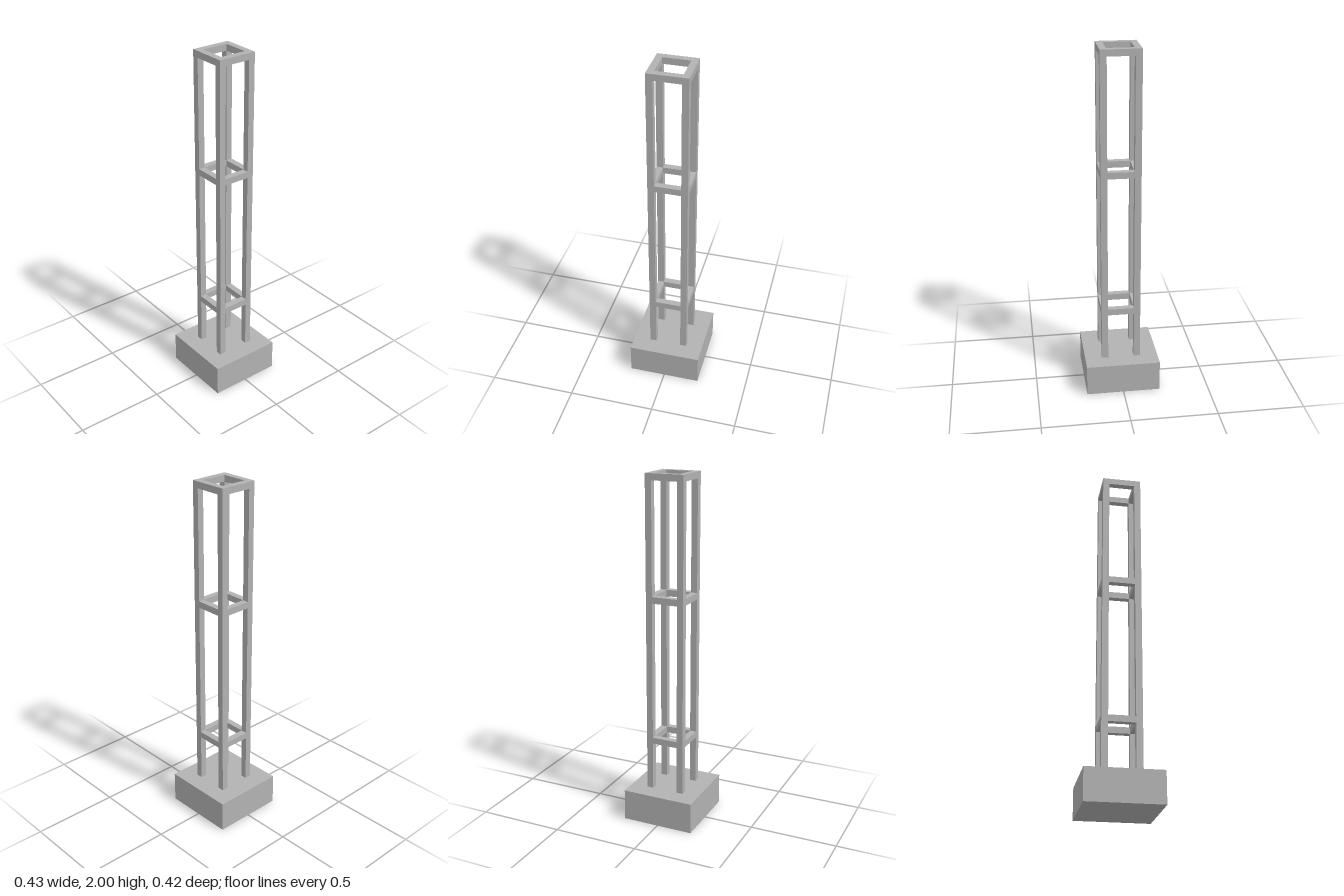
import * as THREE from 'three';

export function createModel() {
  const model = new THREE.Group();
  const grey = new THREE.MeshStandardMaterial({ color: 0xb2b2b2 });
  grey.name = 'plain grey';

  const BASE_TOP = 0.18, TOP = 2;
  const HALF = 0.1125;   // outer half width of the frame
  const BAR = 0.037;     // thickness of posts and rails
  const MID = HALF - BAR / 2;

  function box(name, size, pos, parent) {
    const mesh = new THREE.Mesh(new THREE.BoxGeometry(...size), grey);
    mesh.name = name;
    mesh.position.set(...pos);
    parent.add(mesh);
  }

  // Foundation block
  box('base', [0.427, BASE_TOP, 0.42], [0, BASE_TOP / 2, 0], model);

  const frame = new THREE.Group();
  frame.name = 'towerFrame';
  frame.position.x = 0.002;
  model.add(frame);

  // Four corner posts
  for (const sx of [-1, 1]) for (const sz of [-1, 1]) {
    const name = (sz > 0 ? 'front' : 'back') + (sx > 0 ? 'Left' : 'Right') + 'Post';
    box(name, [BAR, TOP - BASE_TOP, BAR], [sx * MID, (TOP + BASE_TOP) / 2, sz * MID], frame);
  }

  // Square rings of rails fitted between the posts
  const span = 2 * (HALF - BAR);
  const rings = { lowerRing: 0.479, middleRing: 1.313, topRing: TOP - BAR / 2 };
  for (const [name, y] of Object.entries(rings)) {
    const ring = new THREE.Group();
    ring.name = name;
    ring.position.y = y;
    frame.add(ring);
    for (const s of [-1, 1]) {
      box(s > 0 ? 'frontRail' : 'backRail', [span, BAR, BAR], [0, 0, s * MID], ring);
      box(s > 0 ? 'leftRail' : 'rightRail', [BAR, BAR, span], [s * MID, 0, 0], ring);
    }
  }
  return model;
}
